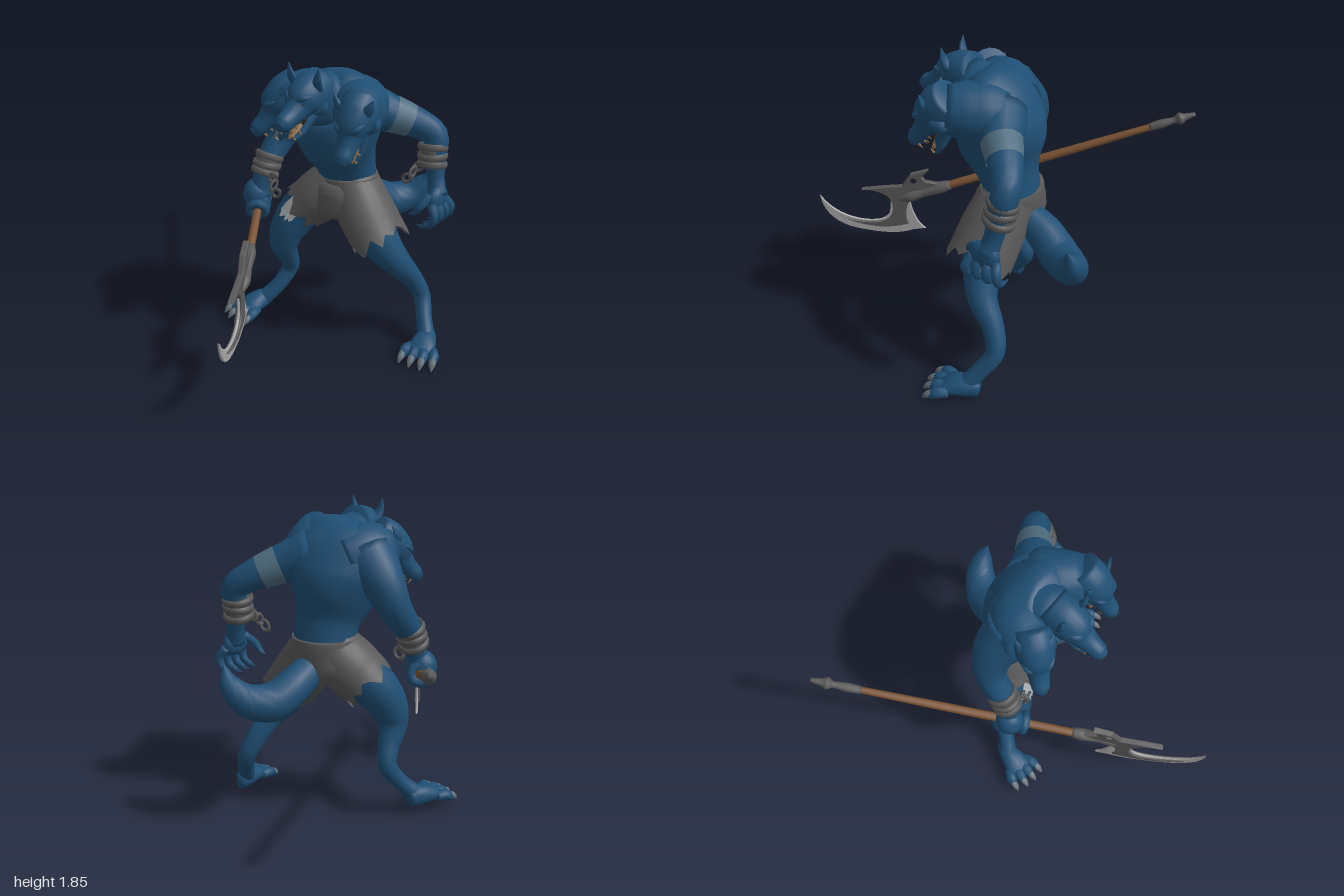
import * as THREE from 'three';

const mat = (name, color, side = THREE.FrontSide) => {
  const m = new THREE.MeshStandardMaterial({ color, side });
  m.name = name;
  return m;
};

// Smooth tube through stations [x, y, z, rx, ry]; ref fixes the ring's roll
function loft(stations, { n = 16, steps = 4, ref = [0, 0, 1], open = false, arc = null, hem = 0 } = {}) {
  const centre = new THREE.CatmullRomCurve3(stations.map(s => new THREE.Vector3(s[0], s[1], s[2])));
  const radius = new THREE.CatmullRomCurve3(stations.map(s => new THREE.Vector3(s[3], s[4] ?? s[3], 0)));
  const rows = (stations.length - 1) * steps, cols = arc ? n + 1 : n;
  const [a0, len] = arc || [0, Math.PI * 2];
  const R = new THREE.Vector3(...ref), pos = [], idx = [];
  const ragged = [0, 0.5, 0.2, 0.9, 0.1, 0.6, 1, 0.3];
  for (let i = 0; i <= rows; i++) {
    const t = i / rows, c = centre.getPoint(t), r = radius.getPoint(t), T = centre.getTangent(t);
    const S = R.clone().cross(T).normalize(), U = T.clone().cross(S);
    for (let j = 0; j < cols; j++) {
      const a = a0 + len * j / n;
      const p = c.clone().addScaledVector(S, Math.cos(a) * Math.max(r.x, 0.001))
        .addScaledVector(U, Math.sin(a) * Math.max(r.y, 0.001));
      if (i === rows) p.addScaledVector(T, hem * ragged[j % 8]);
      pos.push(p.x, p.y, p.z);
    }
  }
  for (let i = 0; i < rows; i++) for (let j = 0; j < n; j++) {
    const a = i * cols + j, b = i * cols + (j + 1) % cols;
    idx.push(a, b, b + cols, a, b + cols, a + cols);
  }
  if (!open) {
    const s = stations[0], e = stations[stations.length - 1], k = pos.length / 3, last = rows * cols;
    pos.push(s[0], s[1], s[2], e[0], e[1], e[2]);
    for (let j = 0; j < n; j++) {
      const q = (j + 1) % n;
      idx.push(k, q, j, k + 1, last + j, last + q);
    }
  }
  const g = new THREE.BufferGeometry();
  g.setAttribute('position', new THREE.Float32BufferAttribute(pos, 3));
  g.setIndex(idx);
  g.computeVertexNormals();
  return g;
}

export function createModel() {
  const fur = mat('blue fur', 0x1f4e73), cloth = mat('grey cloth', 0x585858, THREE.DoubleSide);
  const iron = mat('dark iron', 0x585858), steel = mat('bright steel', 0xa6a6a6);
  const wood = mat('brown wood', 0x775031), wrap = mat('faded wrap', 0x4f6d80, THREE.DoubleSide);
  const pale = mat('pale bandage', 0xa9adb0, THREE.DoubleSide), claw = mat('claw grey', 0x67717a);
  const bone = mat('tan teeth', 0x94704c), dark = mat('dark mouth', 0x3a2a28);

  const model = new THREE.Group();
  model.name = 'wolfWarrior';
  const add = (parent, name, geo, material, p = [0, 0, 0]) => {
    const m = new THREE.Mesh(geo, material);
    m.name = name;
    m.position.set(...p);
    parent.add(m);
    return m;
  };
  const ball = (parent, name, p, scale, material) =>
    add(parent, name, new THREE.SphereGeometry(1, 16, 12), material, p).scale.set(...scale);

  // Torso, twisted slightly at the shoulders
  add(model, 'torso', loft([
    [0.15, 0.98, -0.36, 0.2, 0.16], [0.15, 1.1, -0.35, 0.185, 0.155], [0.15, 1.2, -0.32, 0.19, 0.175],
    [0.14, 1.32, -0.28, 0.235, 0.235], [0.13, 1.46, -0.25, 0.29, 0.25], [0.12, 1.58, -0.22, 0.31, 0.21],
    [0.13, 1.67, -0.17, 0.26, 0.16], [0.13, 1.73, -0.12, 0.12, 0.08]], { n: 28, ref: [0.25, 0, 1] }), fur);

  // Arms
  add(model, 'leftArm', loft([[0.25, 1.56, -0.32, 0.16], [0.4, 1.51, -0.43, 0.11], [0.52, 1.45, -0.53, 0.09],
    [0.61, 1.38, -0.585, 0.078], [0.63, 1.25, -0.565, 0.07], [0.66, 1.12, -0.55, 0.052], [0.69, 1.03, -0.53, 0.06]]), fur);
  add(model, 'leftArmWrap', loft([[0.4, 1.51, -0.43, 0.113], [0.44, 1.49, -0.465, 0.106],
    [0.485, 1.467, -0.502, 0.099]], { open: true }), wrap);
  add(model, 'rightArm', loft([[-0.05, 1.56, -0.2, 0.17], [-0.18, 1.44, -0.24, 0.126], [-0.255, 1.29, -0.22, 0.094],
    [-0.285, 1.13, -0.11, 0.076], [-0.3, 1.0, -0.06, 0.06], [-0.31, 0.92, -0.05, 0.07]]), fur);

  // Open left hand with curled, clawed fingers
  ball(model, 'leftPalm', [0.695, 1.02, -0.52], [0.048, 0.08, 0.09], fur);
  for (let i = 0; i < 4; i++) {
    const z = -0.45 - i * 0.048, f = z - (i - 1.5) * 0.016;
    add(model, 'leftFinger', loft([[0.7, 1.0, z, 0.028], [0.738, 0.94, f, 0.026], [0.715, 0.88, f, 0.021],
      [0.67, 0.86, f, 0.016]], { n: 8 }), fur);
    add(model, 'leftClaw', loft([[0.68, 0.862, f, 0.014], [0.65, 0.852, f, 0.01], [0.62, 0.852, f, 0.002]],
      { n: 6, steps: 2 }), fur);
  }
  add(model, 'leftThumb', loft([[0.68, 1.05, -0.46, 0.028], [0.65, 0.99, -0.4, 0.025], [0.61, 0.94, -0.39, 0.016],
    [0.58, 0.93, -0.39, 0.003]], { n: 8 }), fur);

  // Right fist around the shaft
  const butt = new THREE.Vector3(-0.8, 1.18, -0.8), throat = new THREE.Vector3(-0.07, 0.72, 0.32);
  const axis = throat.clone().sub(butt).normalize();
  const turn = new THREE.Quaternion().setFromUnitVectors(new THREE.Vector3(0, 0, 1), axis);
  ball(model, 'rightPalm', [-0.325, 0.92, -0.04], [0.085, 0.1, 0.085], fur);
  for (let i = 0; i < 4; i++) {
    const p = butt.clone().lerp(throat, 0.62 + i * 0.036);
    add(model, 'rightFinger', new THREE.TorusGeometry(0.05, 0.029, 8, 16), fur, p.toArray()).quaternion.copy(turn);
  }

  // Strapped shackles with a few hanging links
  const shackle = (name, p, dir, r, chain) => {
    const g = new THREE.Group();
    g.name = name;
    g.position.set(...p);
    g.quaternion.setFromUnitVectors(new THREE.Vector3(0, 1, 0), new THREE.Vector3(...dir).normalize());
    model.add(g);
    add(g, 'cuff', new THREE.CylinderGeometry(r, r * 0.95, 0.13, 20), iron);
    for (let i = 0; i < 3; i++) {
      const ring = add(g, 'cuffBand', new THREE.TorusGeometry(r, 0.013, 6, 22), iron, [0, -0.052 + i * 0.052, 0]);
      ring.rotation.x = Math.PI / 2 + (i % 2 ? 0.1 : -0.08);
      ring.scale.z = 1.8;
    }
    chain.forEach((c, i) => {
      const link = add(model, 'chainLink', new THREE.TorusGeometry(0.024, 0.01, 6, 12), iron, c);
      link.scale.y = 1.4;
      link.rotation.set(0.2, i % 2 ? 1.4 : 0.2, -0.7);
    });
  };
  shackle('leftShackle', [0.615, 1.26, -0.565], [-0.12, 1, -0.15], 0.08,
    [[0.57, 1.2, -0.49], [0.55, 1.17, -0.46], [0.525, 1.13, -0.44]]);
  shackle('rightShackle', [-0.285, 1.115, -0.1], [0.05, 1, -0.4], 0.08,
    [[-0.2, 1.06, -0.05], [-0.18, 1.02, -0.04], [-0.16, 0.97, -0.04]]);

  // Legs with raised hocks
  add(model, 'rightLeg', loft([[0.03, 0.94, -0.29, 0.14], [-0.09, 0.83, -0.23, 0.14], [-0.16, 0.69, -0.16, 0.118],
    [-0.185, 0.57, -0.14, 0.092], [-0.195, 0.45, -0.2, 0.066], [-0.215, 0.34, -0.245, 0.056], [-0.26, 0.21, -0.17, 0.05],
    [-0.34, 0.1, -0.08, 0.056]], { n: 20 }), fur);
  add(model, 'leftLeg', loft([[0.27, 0.93, -0.34, 0.13], [0.36, 0.8, -0.33, 0.136], [0.45, 0.67, -0.35, 0.115],
    [0.53, 0.56, -0.4, 0.086], [0.575, 0.43, -0.5, 0.064], [0.625, 0.3, -0.55, 0.055], [0.69, 0.18, -0.49, 0.05],
    [0.75, 0.08, -0.43, 0.056]], { n: 20 }), fur);
  add(model, 'thighBandage', loft([[-0.07, 0.86, -0.245, 0.152], [-0.1, 0.82, -0.225, 0.149], [-0.13, 0.77, -0.2, 0.142]],
    { open: true, arc: [Math.PI * 0.4, Math.PI * 0.25], n: 8, hem: 0.04 }), pale);

  // Feet with four toes
  const foot = (name, p, yaw) => {
    const g = new THREE.Group();
    g.name = name;
    g.position.set(...p);
    g.rotation.y = yaw;
    model.add(g);
    const up = { ref: [0, 1, 0] };
    add(g, 'instep', loft([[0, 0.07, -0.085, 0.03, 0.045], [0, 0.08, -0.02, 0.06, 0.065], [0, 0.075, 0.06, 0.08, 0.056],
      [0, 0.05, 0.14, 0.09, 0.034]], up), fur);
    for (let i = -1.5; i < 2; i++) {
      const f = 0.01 * (2.25 - i * i);
      add(g, 'toe', loft([[0.046 * i, 0.06, 0.08, 0.028], [0.06 * i, 0.06, 0.14 + f, 0.034],
        [0.066 * i, 0.03, 0.185 + f, 0.022]], { n: 10, ...up }), fur);
      add(g, 'toeClaw', loft([[0.064 * i, 0.058, 0.16 + f, 0.022], [0.067 * i, 0.038, 0.198 + f, 0.021],
        [0.07 * i, 0.008, 0.228 + f, 0.004]], { n: 8, ...up }), claw);
    }
  };
  foot('rightFoot', [-0.34, 0.03, -0.08], -0.2);
  foot('leftFoot', [0.75, 0, -0.43], 0.25);

  // Tail
  add(model, 'tail', loft([[0.17, 0.97, -0.42, 0.08], [0.18, 0.88, -0.58, 0.105], [0.24, 0.8, -0.73, 0.112],
    [0.33, 0.83, -0.84, 0.095], [0.41, 0.92, -0.88, 0.06], [0.455, 1.02, -0.87, 0.003]], { ref: [1, 0, 0] }), fur);

  // Ragged shorts
  add(model, 'shortsHips', loft([[0.15, 1.11, -0.35, 0.2, 0.17], [0.15, 1.05, -0.35, 0.208, 0.18],
    [0.14, 0.97, -0.33, 0.24, 0.2], [0.13, 0.9, -0.31, 0.22, 0.19], [0.13, 0.85, -0.31, 0.16, 0.15]], { n: 28 }), cloth);
  add(model, 'shortsLeftLeg', loft([[0.2, 1.04, -0.35, 0.155, 0.17], [0.31, 0.89, -0.33, 0.168, 0.192],
    [0.42, 0.76, -0.32, 0.158, 0.2]], { n: 24, open: true, hem: 0.09 }), cloth);
  add(model, 'shortsRightLeg', loft([[0.1, 1.04, -0.345, 0.155, 0.17], [0.01, 0.93, -0.29, 0.17, 0.185],
    [-0.06, 0.86, -0.26, 0.16, 0.18]], { n: 24, open: true, hem: 0.08 }), cloth);

  // Three necks and heads; each head looks along its own +z
  const head = (name, neck, p, yaw, pitch, earTip, tongue) => {
    add(model, name + 'Neck', loft(neck, { ref: [0, 1, 0], n: 20 }), fur);
    const g = new THREE.Group();
    g.name = name;
    g.position.set(...p);
    g.rotation.set(pitch, yaw, 0, 'YXZ');
    model.add(g);
    const up = { ref: [0, 1, 0] }, [ex, ey, ez] = earTip;
    add(g, 'skull', loft([[0, 0, -0.14, 0.105, 0.11], [0, 0.005, -0.05, 0.115, 0.125], [0, 0.005, 0.03, 0.102, 0.11],
      [0, -0.012, 0.09, 0.074, 0.078], [0, -0.02, 0.16, 0.058, 0.058], [0, -0.022, 0.22, 0.051, 0.052],
      [0, -0.022, 0.26, 0.026, 0.028]], { n: 20, ...up }), fur);
    add(g, 'jaw', loft([[0, -0.07, -0.03, 0.08, 0.065], [0, -0.112, 0.06, 0.06, 0.044], [0, -0.148, 0.13, 0.044, 0.026],
      [0, -0.162, 0.18, 0.02, 0.014]], up), fur);
    add(g, 'throat', loft([[0, -0.06, 0.02, 0.05, 0.05], [0, -0.085, 0.11, 0.04, 0.036]], up), dark);
    add(g, 'tongue', loft([[0, -0.09, 0.06, 0.03, 0.014], [0, -0.116, 0.14, 0.028, 0.012], [0, -0.134, 0.195, 0.012, 0.006]], up), tongue);
    for (const s of [-1, 1]) {
      add(g, 'ear', loft([[s * 0.075, 0.06, -0.03, 0.036, 0.026], [s * (0.04 + ex * 0.5), 0.03 + ey * 0.5, ez * 0.6, 0.028, 0.016],
        [s * ex, ey, ez, 0.003, 0.003]], { n: 10 }), fur);
      add(g, 'brow', loft([[s * 0.02, 0.052, 0.095, 0.014], [s * 0.055, 0.062, 0.075, 0.02], [s * 0.085, 0.055, 0.03, 0.01]],
        { n: 8 }), fur);
      ball(g, 'eye', [s * 0.06, 0.034, 0.09], [0.009, 0.007, 0.008], dark);
      add(g, 'cheekFur', loft([[s * 0.065, -0.03, 0.0, 0.055], [s * 0.072, -0.075, -0.03, 0.05],
        [s * 0.065, -0.12, -0.07, 0.02]], { n: 10 }), fur);
      for (let i = 0; i < 3; i++) {
        const z = 0.12 + i * 0.045;
        add(g, 'upperTooth', new THREE.ConeGeometry(0.009, i === 2 ? 0.04 : 0.025, 6), bone, [s * 0.034, -0.08, z])
          .rotation.x = Math.PI;
        add(g, 'lowerTooth', new THREE.ConeGeometry(0.009, 0.03, 6), bone, [s * (0.038 - i * 0.01), -0.11 - i * 0.014, z - 0.025]);
      }
    }
  };
  head('middleHead', [[0.13, 1.53, -0.29, 0.16], [0.13, 1.59, -0.18, 0.18], [0.13, 1.66, -0.02, 0.125, 0.14]],
    [0.13, 1.67, 0.04], 0, 0.36, [0.105, 0.185, -0.045], bone);
  head('rightHead', [[0.06, 1.54, -0.28, 0.17], [-0.02, 1.58, -0.18, 0.175], [-0.08, 1.61, -0.05, 0.13]],
    [-0.09, 1.595, -0.02], -0.7, 0.75, [0.1, 0.085, -0.11], claw);
  head('leftHead', [[0.22, 1.55, -0.3, 0.17], [0.32, 1.59, -0.2, 0.17], [0.41, 1.61, -0.08, 0.13]],
    [0.42, 1.58, -0.03], 0.12, 0.85, [0.12, 0.12, -0.09], bone);

  // Poleaxe: shaft, butt spike and socket
  const weapon = new THREE.Group();
  weapon.name = 'poleaxe';
  model.add(weapon);
  const along = (t, r) => [...butt.clone().lerp(throat, t).toArray(), r];
  const rod = { n: 12, ref: [0, 1, 0] };
  add(weapon, 'shaft', loft([along(-0.02, 0.02), along(0.5, 0.027), along(1.02, 0.026)], rod), wood);
  add(weapon, 'buttSpike', loft([along(0.03, 0.024), along(-0.02, 0.028), along(-0.08, 0.02), along(-0.105, 0.038),
    along(-0.125, 0.024), along(-0.172, 0.012)], rod), iron);
  add(weapon, 'socket', loft([along(0.95, 0.029), along(1.0, 0.04), along(1.08, 0.032), along(1.14, 0.038),
    along(1.2, 0.012)], rod), iron);

  // Axe head drawn in (z, y) and set into the shaft's upright plane; four-number entries are curves
  const plate = (name, pts, depth, material, hole) => {
    const shape = new THREE.Shape().moveTo(...pts[0]);
    pts.slice(1).forEach(p => (p.length === 4 ? shape.quadraticCurveTo(...p) : shape.lineTo(...p)));
    if (hole) shape.holes.push(new THREE.Path().absarc(...hole, 0, Math.PI * 2, true));
    const geo = new THREE.ExtrudeGeometry(shape, { depth, bevelEnabled: true, bevelThickness: 0.006, bevelSize: 0.004,
      bevelOffset: -0.004, bevelSegments: 1, curveSegments: 8 });
    geo.translate(0, 0, -depth / 2);
    geo.applyMatrix4(new THREE.Matrix4().makeBasis(new THREE.Vector3(0.585, 0, 1), new THREE.Vector3(0, 1, 0),
      new THREE.Vector3(-0.863, 0, 0.505)).setPosition(-0.257, 0, 0));
    add(weapon, name, geo, material);
  };
  plate('axeNeck', [[0.29, 0.69], [0.3, 0.75], [0.4, 0.77], [0.42, 0.8], [0.38, 0.855], [0.48, 0.82], [0.53, 0.73],
    [0.62, 0.72], [0.76, 0.695], [0.6, 0.69, 0.59, 0.58], [0.58, 0.45, 0.7, 0.445], [0.8, 0.44, 0.9, 0.485],
    [0.8, 0.415, 0.66, 0.405], [0.56, 0.41, 0.5, 0.44], [0.53, 0.5, 0.5, 0.6], [0.44, 0.66]],
  0.024, iron, [0.465, 0.775, 0.022]);
  plate('axeBlade', [[1, 0.635], [0.91, 0.47, 0.74, 0.455], [0.61, 0.45, 0.605, 0.55], [0.6, 0.64], [0.57, 0.64],
    [0.49, 0.62], [0.47, 0.46, 0.406, 0.4], [0.48, 0.385], [0.53, 0.36, 0.6, 0.355], [0.74, 0.36, 0.84, 0.395],
    [0.99, 0.46, 1, 0.635]], 0.004, steel);

  return model;
}
